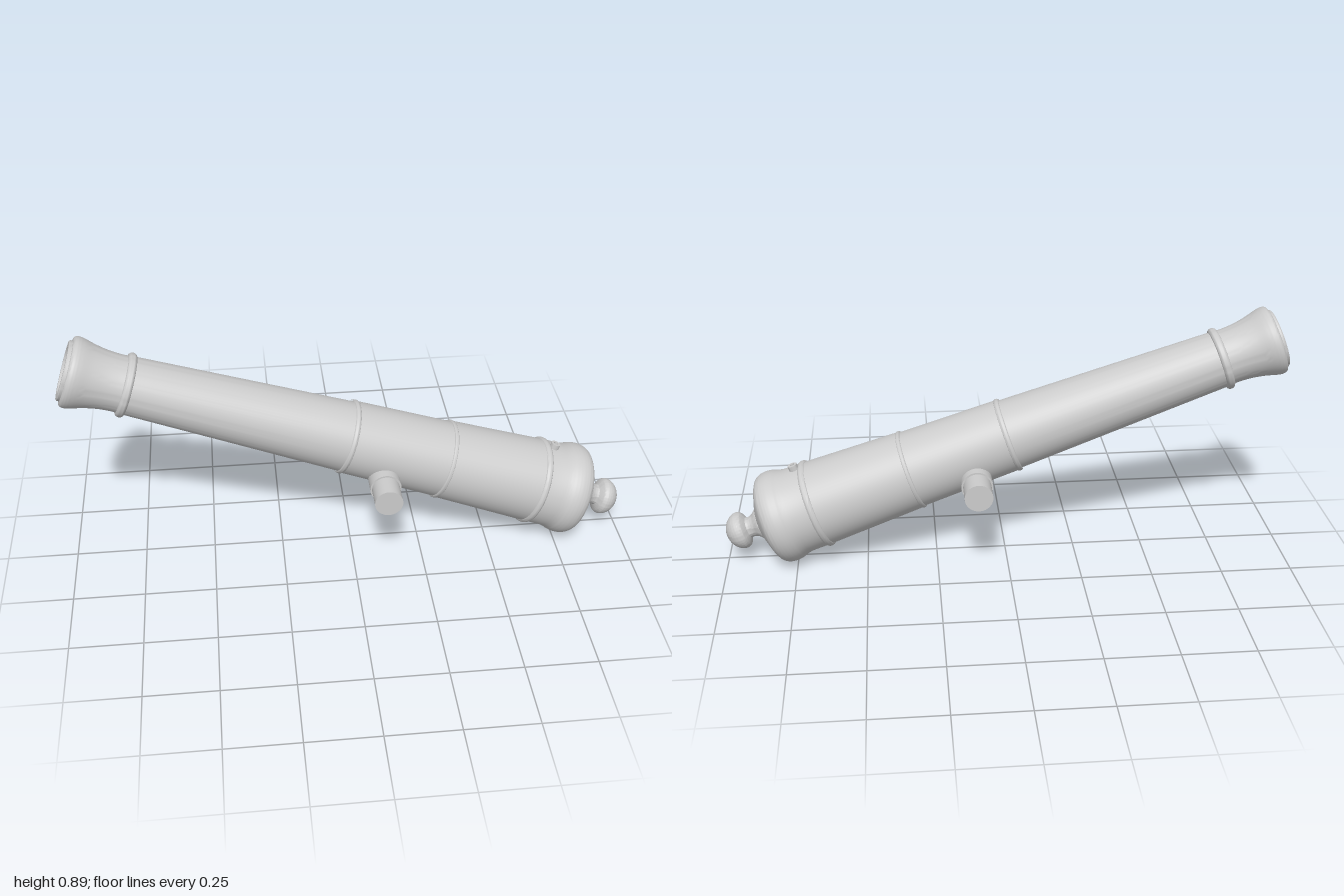
import * as THREE from 'three';
import { toCreasedNormals } from 'three/addons/utils/BufferGeometryUtils.js';

const TILT = THREE.MathUtils.degToRad(19.4);
const SEGMENTS = 72;
const material = new THREE.MeshStandardMaterial({ color: 0xcccccc });

function part(name, geometry, parent) {
  const mesh = new THREE.Mesh(geometry, material);
  mesh.name = name;
  parent.add(mesh);
  return mesh;
}

// Points are [radius, distance along the barrel], muzzle to breech
const toPoints = (list) => list.map(([r, s]) => new THREE.Vector2(r, s));
const smooth = (list, n = 24) => new THREE.SplineCurve(toPoints(list)).getPoints(n);
const turned = (points) => toCreasedNormals(new THREE.LatheGeometry(points, SEGMENTS), 0.6);

// Half-round band around the barrel
function band(name, s, radius, halfWidth, height, parent) {
  const points = [];
  for (let i = 0; i <= 10; i++) {
    const a = (i / 10) * Math.PI;
    points.push(new THREE.Vector2(radius + Math.sin(a) * height, s - Math.cos(a) * halfWidth));
  }
  part(name, turned(points), parent);
}

export function createModel() {
  const model = new THREE.Group();
  model.name = 'cannon';

  // Tilted barrel: local +y runs from muzzle to breech
  const barrel = new THREE.Group();
  barrel.name = 'barrel';
  barrel.position.y = 0.446;
  barrel.rotation.z = -Math.PI / 2 - TILT;
  model.add(barrel);

  // Bore, stepped lip and flared muzzle
  part('muzzle', turned([
    ...toPoints([[0, 0.1], [0.073, 0.1], [0.073, -1.012], [0.08, -1.02], [0.1, -1.02],
      [0.104, -1.016], [0.104, -1.008], [0.113, -1.008]]),
    ...smooth([[0.113, -1.008], [0.12, -1.003], [0.123, -0.99], [0.12, -0.97],
      [0.109, -0.93], [0.101, -0.885], [0.098, -0.84], [0.099, -0.8]]).slice(1),
  ]), barrel);

  // Tapered body in three stages
  part('chase', turned(toPoints([[0.1, -0.81], [0.126, -0.012]])), barrel);
  part('middleStage', turned(toPoints([[0.126, -0.012], [0.13, -0.012], [0.138, 0.354]])), barrel);
  part('rearStage', turned(toPoints([[0.138, 0.354], [0.141, 0.354], [0.154, 0.715]])), barrel);

  band('muzzleBand', -0.805, 0.099, 0.015, 0.013, barrel);
  band('middleBand', -0.012, 0.128, 0.01, 0.006, barrel);
  band('rearBand', 0.354, 0.138, 0.008, 0.006, barrel);
  band('breechBand', 0.713, 0.153, 0.012, 0.008, barrel);

  // Rounded breech
  part('breech', turned([
    ...toPoints([[0.154, 0.715], [0.155, 0.785]]),
    ...smooth([[0.155, 0.785], [0.159, 0.805], [0.166, 0.825], [0.169, 0.85], [0.164, 0.875],
      [0.148, 0.893], [0.105, 0.912], [0.06, 0.928], [0, 0.936]], 40).slice(1),
  ]), barrel);

  // Neck and knob
  part('knob', turned([
    ...smooth([[0.06, 0.922], [0.058, 0.932], [0.044, 0.948], [0.037, 0.965], [0.038, 0.977]], 14),
    ...smooth([[0.046, 0.981], [0.061, 0.99], [0.067, 1.004], [0.062, 1.024],
      [0.046, 1.043], [0.024, 1.055], [0, 1.059]], 24),
  ]), barrel);

  // Vent: a small ringed hole on the upper side
  const vent = part('vent', turned(toPoints([
    [0, 0], [0.008, 0], [0.008, 0.022], [0.017, 0.022], [0.017, -0.02]]).reverse()), barrel);
  vent.rotation.z = Math.PI / 2;
  vent.position.set(-0.15, 0.737, 0);

  // Mirrored trunnions with collars
  for (const side of [1, -1]) {
    const trunnion = new THREE.Group();
    trunnion.name = side > 0 ? 'frontTrunnion' : 'rearTrunnion';
    trunnion.position.set(0.11, 0.331, 0);
    for (const [name, radius, from, to] of [['collar', 0.055, 0.085, 0.166], ['pin', 0.049, 0.085, 0.252]]) {
      const geometry = new THREE.CylinderGeometry(radius, radius, to - from, 48);
      geometry.rotateX(Math.PI / 2);
      part(name, geometry, trunnion).position.z = (side * (from + to)) / 2;
    }
    model.add(trunnion);
  }
  return model;
}
